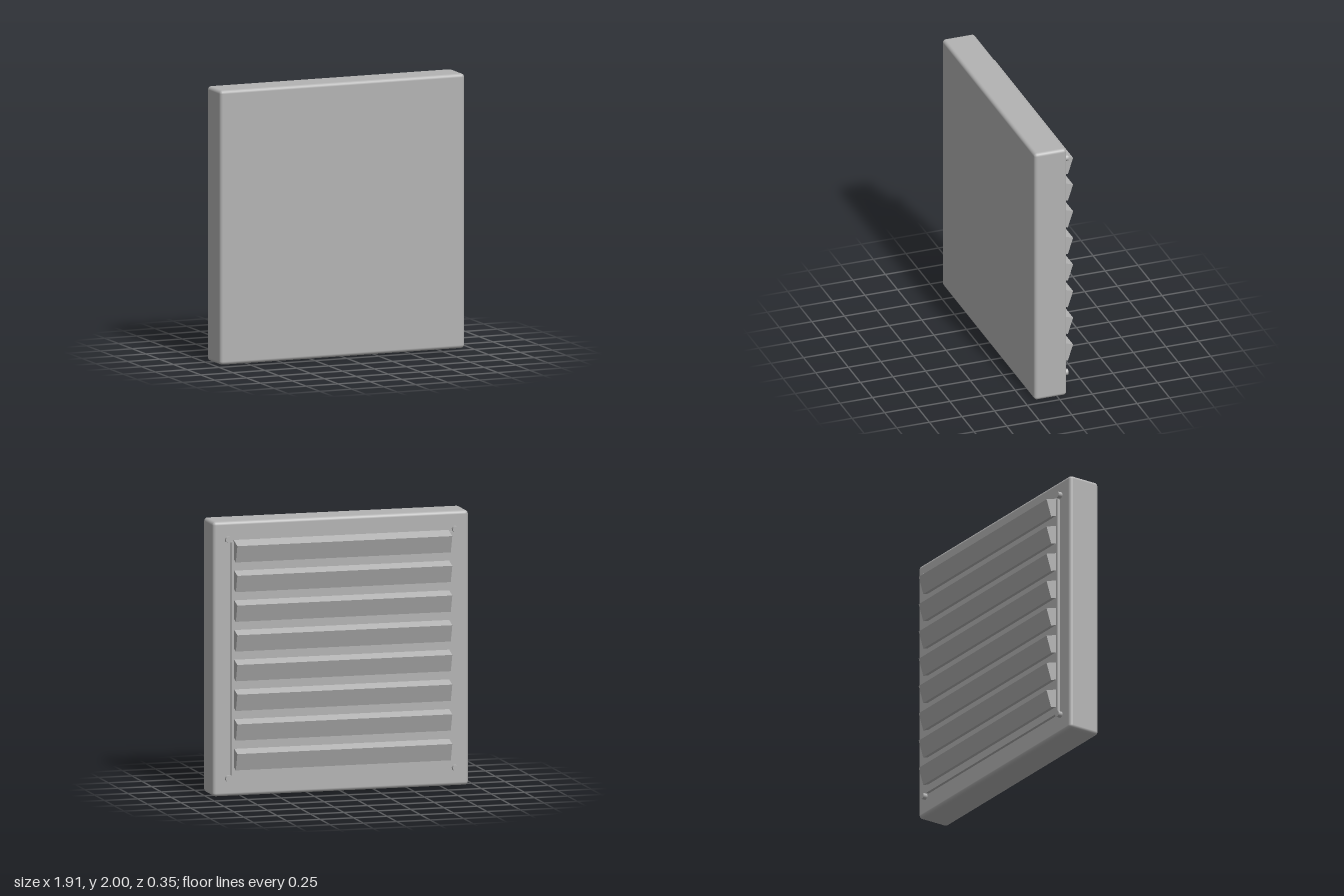
import * as THREE from 'three';
import { RoundedBoxGeometry } from 'three/addons/geometries/RoundedBoxGeometry.js';

export function createModel() {
  const model = new THREE.Group();
  const grey = new THREE.MeshStandardMaterial({ color: 0xb3b3b3 });
  grey.name = 'grey metal';

  const add = (name, geometry, x, y, z) => {
    const mesh = new THREE.Mesh(geometry, grey);
    mesh.name = name;
    mesh.position.set(x, y, z);
    model.add(mesh);
    return mesh;
  };

  // Rounded slab and the thin mounting plate on its back
  add('body', new RoundedBoxGeometry(1.914, 2, 0.248, 3, 0.025), 0, 1, 0.052);
  add('backPlate', new THREE.BoxGeometry(1.65, 1.7, 0.04), 0, 1.003, -0.074);

  // Tilted louvre slats, evenly spaced from bottom to top
  const slatGeometry = new THREE.BoxGeometry(1.61, 0.131, 0.1);
  for (let i = 0; i < 8; i++) {
    const slat = add('slat', slatGeometry, 0, 0.274 + i * 0.2163, -0.107);
    slat.rotation.x = -0.31;
  }

  // Screw heads just outside the plate corners
  const screwGeometry = new THREE.CylinderGeometry(0.023, 0.023, 0.032, 16).rotateX(Math.PI / 2);
  for (const x of [-0.85, 0.85]) {
    for (const y of [0.133, 1.872]) add('screw', screwGeometry, x, y, -0.099);
  }

  return model;
}
